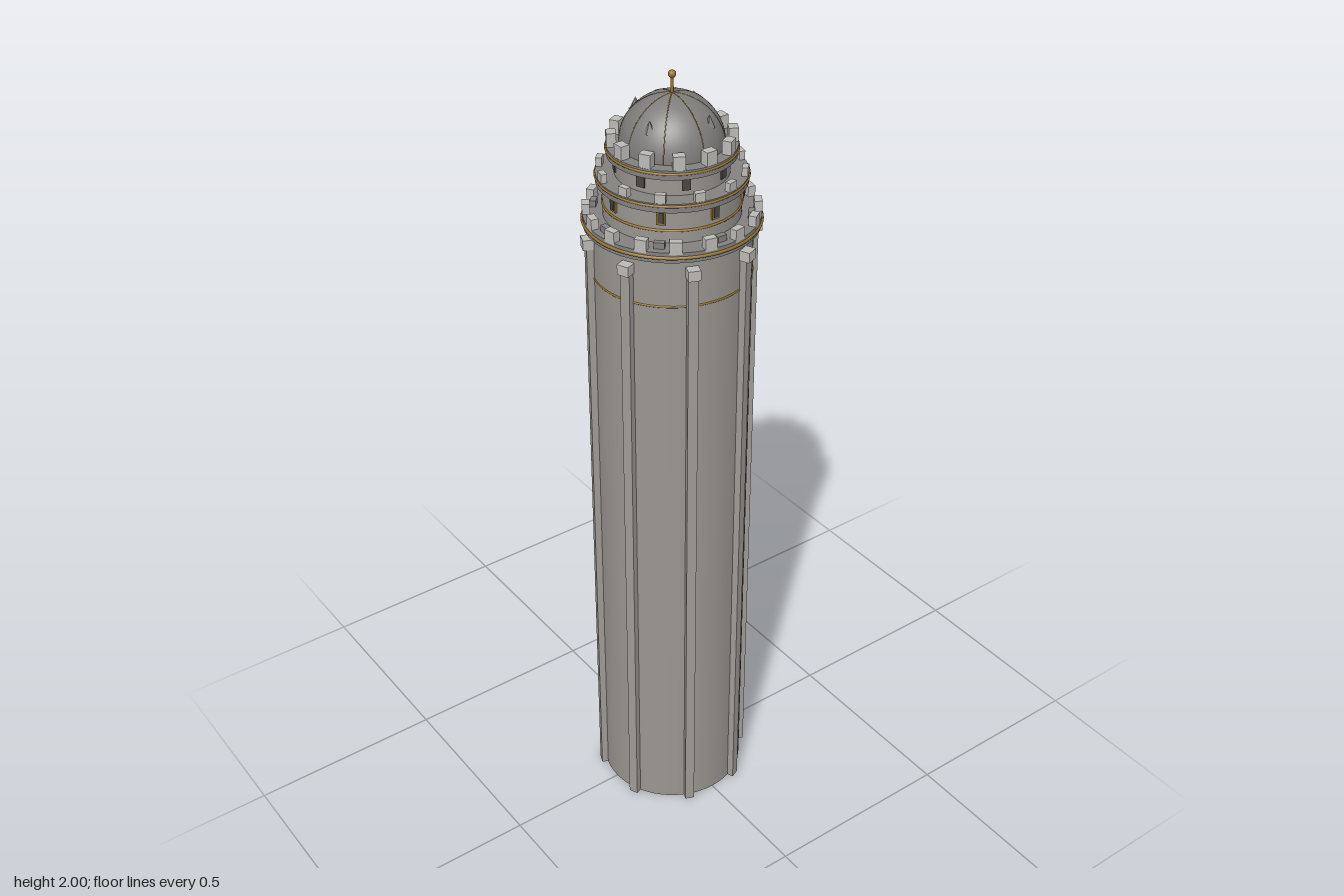
import * as THREE from 'three';

const paint = (color, side = THREE.FrontSide) => new THREE.MeshStandardMaterial({ color, side });
const wall = paint(0x9a9691, THREE.DoubleSide);
const buttressStone = paint(0xa09c97);
const deck = paint(0x838281);
const merlonStone = paint(0xbdbbb7);
const domeGrey = paint(0x7e7d7c);
const gold = paint(0x94712c);
const dark = paint(0x4a4644);

export function createModel() {
  const tower = new THREE.Group();
  tower.name = 'tower';

  const add = (name, geometry, material, y = 0, parent = tower) => {
    const mesh = new THREE.Mesh(geometry, material);
    mesh.name = name;
    mesh.position.y = y;
    parent.add(mesh);
    return mesh;
  };
  // Upright drum between two heights
  const drum = (name, r, y0, y1, material, open = false) =>
    add(name, new THREE.CylinderGeometry(r, r, y1 - y0, 64, 1, open), material, (y0 + y1) / 2);
  // Horizontal trim ring
  const ring = (name, r, y, tube = 0.003) =>
    add(name, new THREE.TorusGeometry(r, tube, 8, 64).rotateX(Math.PI / 2), gold, y);
  // Boxes evenly spaced around the axis, each facing outward
  const around = (name, count, offset, r, y0, y1, width, depth, material) => {
    const group = new THREE.Group();
    group.name = name;
    const geometry = new THREE.BoxGeometry(width, y1 - y0, depth);
    for (let i = 0; i < count; i++) {
      const a = ((i + offset) / count) * Math.PI * 2;
      const box = add(name + 'Block', geometry, material, (y0 + y1) / 2, group);
      box.position.x = r * Math.sin(a);
      box.position.z = r * Math.cos(a);
      box.rotation.y = a;
    }
    tower.add(group);
  };

  // Hollow shaft with eight buttresses
  drum('shaft', 0.185, 0, 1.645, wall, true);
  around('buttress', 8, 0.5, 0.191, 0, 1.6, 0.024, 0.02, buttressStone);
  around('buttressCap', 8, 0.5, 0.196, 1.595, 1.62, 0.029, 0.027, merlonStone);
  ring('shaftBand', 0.184, 1.52);

  // Lower gallery
  drum('lowerDeck', 0.203, 1.64, 1.665, deck);
  ring('lowerDeckTrim', 0.203, 1.652, 0.004);
  around('lowerMerlon', 16, 0.5, 0.194, 1.66, 1.69, 0.028, 0.018, merlonStone);
  around('lampBlock', 8, 0, 0.18, 1.66, 1.68, 0.024, 0.014, deck);

  // Middle storey and its gallery
  drum('middleStorey', 0.157, 1.66, 1.75, wall);
  ring('middleBand', 0.157, 1.695);
  around('middleWindowFrame', 8, 0, 0.157, 1.71, 1.745, 0.02, 0.01, gold);
  around('middleWindow', 8, 0, 0.159, 1.715, 1.74, 0.012, 0.01, dark);
  drum('middleDeck', 0.172, 1.745, 1.766, deck);
  ring('middleDeckTrim', 0.172, 1.76);
  around('middleMerlon', 12, 0.5, 0.164, 1.76, 1.787, 0.024, 0.014, merlonStone);

  // Upper storey and its gallery
  drum('upperStorey', 0.13, 1.76, 1.82, wall);
  around('upperWindow', 8, 0.5, 0.128, 1.778, 1.805, 0.02, 0.01, dark);
  drum('upperDeck', 0.147, 1.81, 1.832, deck);
  ring('upperDeckTrim', 0.147, 1.824);
  around('upperMerlon', 12, 0, 0.135, 1.83, 1.864, 0.027, 0.022, merlonStone);

  // Dome, fine ribs and finial
  const domeR = 0.119, domeY = 1.83;
  add('dome', new THREE.SphereGeometry(domeR, 48, 24, 0, Math.PI * 2, 0, Math.PI / 2), domeGrey, domeY);
  for (let i = 0; i < 4; i++) {
    const rib = add('domeRib', new THREE.TorusGeometry(domeR - 0.0004, 0.0012, 6, 48, Math.PI), gold, domeY);
    rib.rotation.y = (i * Math.PI) / 4;
  }
  add('finialPole', new THREE.CylinderGeometry(0.003, 0.004, 0.05, 12), gold, 1.967);
  add('finialBall', new THREE.SphereGeometry(0.009, 16, 12), gold, 1.991);

  // Four small pointed studs on the dome
  const cone = new THREE.ConeGeometry(0.014, 0.028, 5).toNonIndexed();
  cone.computeVertexNormals();
  for (let i = 0; i < 4; i++) {
    const a = 1.973 + (i * Math.PI) / 2;
    const stud = add('domeStud', cone, domeGrey, domeY + 0.074);
    stud.position.x = 0.094 * Math.sin(a);
    stud.position.z = 0.094 * Math.cos(a);
    stud.rotation.y = a;
  }
  return tower;
}
